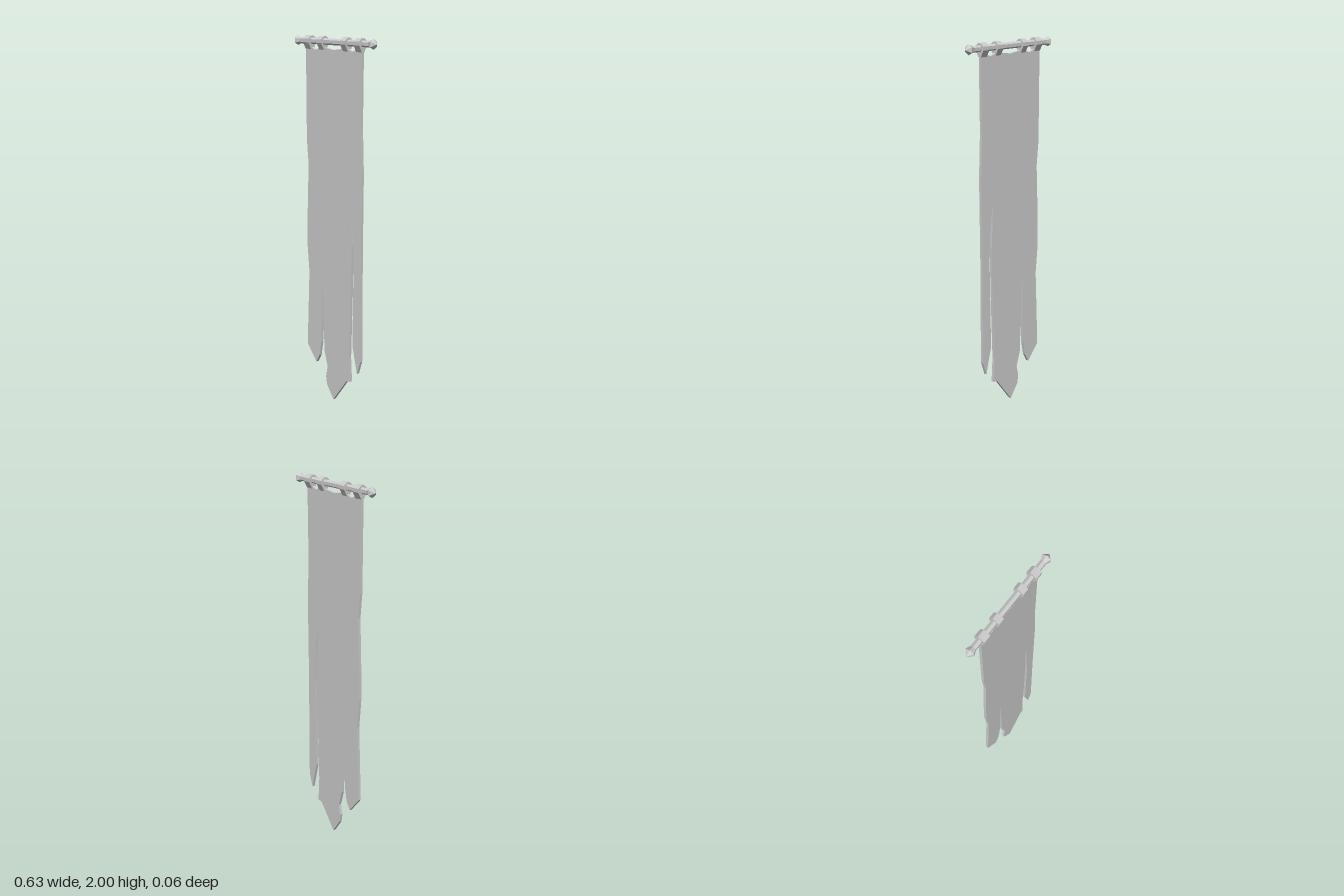
import * as THREE from 'three';

const material = new THREE.MeshStandardMaterial({ color: 0xcccccc, flatShading: true });
const ROD_Y = 1.973;

function addMesh(parent, name, geometry) {
  const mesh = new THREE.Mesh(geometry, material);
  mesh.name = name;
  parent.add(mesh);
  return mesh;
}

function extrudeCentred(shape, depth) {
  const geometry = new THREE.ExtrudeGeometry(shape, { depth, bevelEnabled: false });
  return geometry.translate(0, 0, -depth / 2);
}

const toShape = (points) => new THREE.Shape(points.map(([x, y]) => new THREE.Vector2(x, y)));

// Torn cloth outline, clockwise from the top left corner
const clothOutline = [
  // scalloped top edge
  [-0.217, 1.94], [-0.174, 1.94], [-0.142, 1.927], [-0.109, 1.938], [-0.073, 1.942],
  [0, 1.932], [0.073, 1.942], [0.111, 1.942], [0.143, 1.929], [0.172, 1.942], [0.213, 1.942],
  // right edge and narrow right tail
  [0.209, 1.55], [0.218, 1.31], [0.214, 0.87], [0.215, 0.28], [0.19, 0.205], [0.153, 0.355],
  // long right tear
  [0.161, 0.86], [0.148, 1.07], [0.133, 1.165], [0.137, 1.05], [0.145, 0.915],
  // middle tail
  [0.137, 0.6], [0.127, 0.28], [0.135, 0.143], [0.106, 0.138], [0, 0],
  [-0.053, 0.075], [-0.061, 0.122], [-0.048, 0.18], [-0.074, 0.27],
  // short left tear
  [-0.082, 0.545], [-0.09, 0.735], [-0.095, 0.44], [-0.101, 0.31], [-0.116, 0.23],
  // left tail and left edge
  [-0.142, 0.185], [-0.217, 0.275], [-0.199, 0.7], [-0.214, 0.86], [-0.212, 1.02],
  [-0.201, 1.31], [-0.214, 1.445],
];

// Side profile of a hanging loop: faceted ring tapering down to the cloth
const loopProfile = [
  [-0.009, 2], [-0.028, 1.984], [-0.028, 1.965], [-0.009, 1.93],
  [0.009, 1.93], [0.028, 1.965], [0.028, 1.984], [0.009, 2],
];

function loopGeometry(width) {
  const shape = toShape(loopProfile);
  const hole = new THREE.Path();
  hole.absarc(0, ROD_Y, 0.018, 0, Math.PI * 2, true);
  shape.holes.push(hole);
  const geometry = new THREE.ExtrudeGeometry(shape, { depth: width, bevelEnabled: false, curveSegments: 3 });
  return geometry.translate(0, 0, -width / 2).rotateY(Math.PI / 2);
}

export function createModel() {
  const banner = new THREE.Group();
  banner.name = 'banner';

  addMesh(banner, 'cloth', extrudeCentred(toShape(clothOutline), 0.016));

  // Hexagonal rod with pointed finials, turned as one profile
  const rodProfile = [
    [0, -0.315], [0.027, -0.29], [0.017, -0.264],
    [0.017, 0.264], [0.027, 0.29], [0, 0.315],
  ].map(([r, y]) => new THREE.Vector2(r, y));
  const rod = addMesh(banner, 'rodWithFinials',
    new THREE.LatheGeometry(rodProfile, 6, Math.PI / 2).rotateZ(Math.PI / 2));
  rod.position.y = ROD_Y;

  // Four loops holding the cloth: [centre x, width]
  for (const [x, width] of [[-0.196, 0.044], [-0.091, 0.036], [0.092, 0.038], [0.194, 0.042]]) {
    addMesh(banner, 'hangingLoop', loopGeometry(width)).position.x = x;
  }

  return banner;
}
